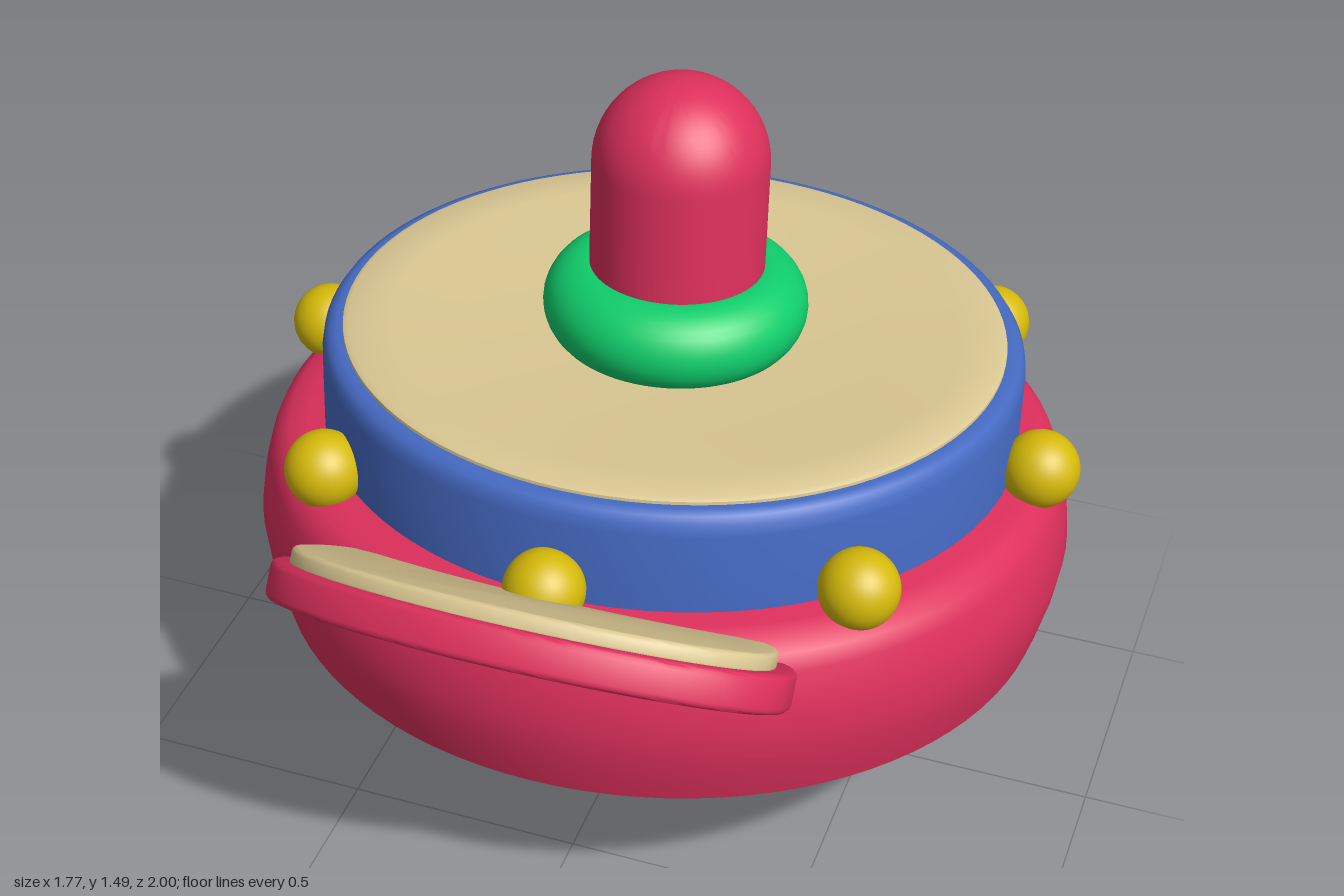
import * as THREE from 'three';
import { toCreasedNormals } from 'three/addons/utils/BufferGeometryUtils.js';

const mat = (name, color) => Object.assign(new THREE.MeshStandardMaterial({ color }), { name });

export function createModel() {
  const red = mat('crimson', 0xde305c);
  const blue = mat('blue', 0x466bc4);
  const green = mat('green', 0x10cf6c);
  const cream = mat('cream', 0xdcc994);
  const yellow = mat('yellow', 0xd6ba0a);

  const model = new THREE.Group();
  model.name = 'spinningTop';

  const add = (parent, name, geometry, material, x = 0, y = 0, z = 0) => {
    const mesh = new THREE.Mesh(geometry, material);
    mesh.name = name;
    mesh.position.set(x, y, z);
    parent.add(mesh);
    return mesh;
  };
  const lathe = (points) => toCreasedNormals(
    new THREE.LatheGeometry(points.map(([r, y]) => new THREE.Vector2(r, y)), 96), 0.6);

  // Everything but the lip leans back around the tip
  const body = new THREE.Group();
  body.name = 'tiltedBody';
  body.position.set(0, 0.221, -0.094);
  body.rotation.x = -THREE.MathUtils.degToRad(5);
  model.add(body);

  // Tip and shallow underside
  add(body, 'tip', new THREE.SphereGeometry(0.219, 48, 32), blue);
  const coneHeight = (r) => -0.076 + 0.153 * r;
  add(body, 'lowerDisc', lathe([
    [0, coneHeight(0)], [0.66, coneHeight(0.66)], [0.69, 0.035], [0.712, 0.055], [0.715, 0.1], [0, 0.1],
  ]), blue, 0, 0, 0.02).scale.z = 0.985;

  // Off-centre red patch that follows the underside
  const patch = new THREE.RingGeometry(0.01, 0.55, 72, 10).rotateX(Math.PI / 2).translate(-0.12, 0, 0);
  const pos = patch.attributes.position;
  for (let i = 0; i < pos.count; i++) {
    pos.setY(i, coneHeight(Math.hypot(pos.getX(i), pos.getZ(i))) - 0.004);
  }
  patch.computeVertexNormals();
  add(body, 'undersidePatch', patch, red, 0, 0, 0.02);

  // Wide hull
  add(body, 'hull', lathe([
    [0, 0.075], [0.76, 0.075], [0.8, 0.085], [0.832, 0.11], [0.847, 0.16], [0.862, 0.22], [0.872, 0.29],
    [0.864, 0.36], [0.85, 0.42], [0.835, 0.455], [0.81, 0.475], [0.77, 0.485], [0, 0.485],
  ]), red, 0, 0, 0.022).scale.z = 0.98;

  // Upper drum with a slightly dished lid
  add(body, 'drum', lathe([
    [0.742, 0.46], [0.742, 0.66], [0.738, 0.685], [0.728, 0.7], [0.712, 0.707], [0.69, 0.705],
  ]), blue).scale.z = 0.98;
  add(body, 'lid', lathe([
    [0.7, 0.7], [0.699, 0.712], [0.688, 0.718], [0.6, 0.714], [0.45, 0.704], [0.28, 0.695], [0, 0.69],
  ]), cream).scale.z = 0.975;

  // Collar and handle
  add(body, 'collar', new THREE.TorusGeometry(0.186, 0.092, 32, 72).rotateX(Math.PI / 2), green, 0, 0.764, 0);
  const handle = [[0.183, 0.68], [0.183, 1.09]];
  for (let i = 1; i <= 16; i++) {
    const a = (i / 16) * Math.PI / 2;
    handle.push([0.183 * Math.cos(a), 1.09 + 0.183 * Math.sin(a)]);
  }
  add(body, 'handle', lathe(handle), red);

  // Eight beads round the drum
  for (let i = 0; i < 8; i++) {
    const a = (i / 8) * Math.PI * 2;
    add(body, 'bead', new THREE.SphereGeometry(0.082, 32, 24), yellow,
      0.803 * Math.sin(a), 0.527, 0.775 * Math.cos(a) - 0.012);
  }

  // Upturned crescent lip at the front with a cream pad
  const crescent = (sx, sv, v0) => {
    const p = (x, v) => [x * sx, v0 + (v - v0) * sv];
    const s = new THREE.Shape();
    s.moveTo(...p(-0.44, -0.01));
    s.quadraticCurveTo(...p(0, 0.25), ...p(0.44, -0.01));
    s.bezierCurveTo(...p(0.5, 0), ...p(0.53, 0.1), ...p(0.525, 0.2));
    s.bezierCurveTo(...p(0.5, 0.37), ...p(0.25, 0.495), ...p(0, 0.495));
    s.bezierCurveTo(...p(-0.25, 0.495), ...p(-0.5, 0.37), ...p(-0.525, 0.2));
    s.bezierCurveTo(...p(-0.53, 0.1), ...p(-0.5, 0), ...p(-0.44, -0.01));
    return s;
  };
  const plate = (shape, thickness, bevel) => toCreasedNormals(new THREE.ExtrudeGeometry(shape, {
    depth: thickness - 2 * bevel, bevelThickness: bevel, bevelSize: bevel, bevelOffset: -bevel,
    bevelSegments: 3, curveSegments: 24,
  }).translate(0, 0, bevel), 0.6);

  const lip = new THREE.Group();
  lip.name = 'frontLip';
  lip.position.set(0, 0.643, 0.6);
  lip.quaternion.setFromRotationMatrix(new THREE.Matrix4().makeBasis(
    new THREE.Vector3(-1, 0, 0), new THREE.Vector3(0, 0.6, 0.8), new THREE.Vector3(0, 0.8, -0.6)));
  model.add(lip);
  add(lip, 'lipPlate', plate(crescent(1, 1, 0), 0.078, 0.014), red);
  add(lip, 'lipPad', plate(crescent(0.925, 0.9, 0.27), 0.04, 0.01), cream, 0, 0, 0.07);

  return model;
}
